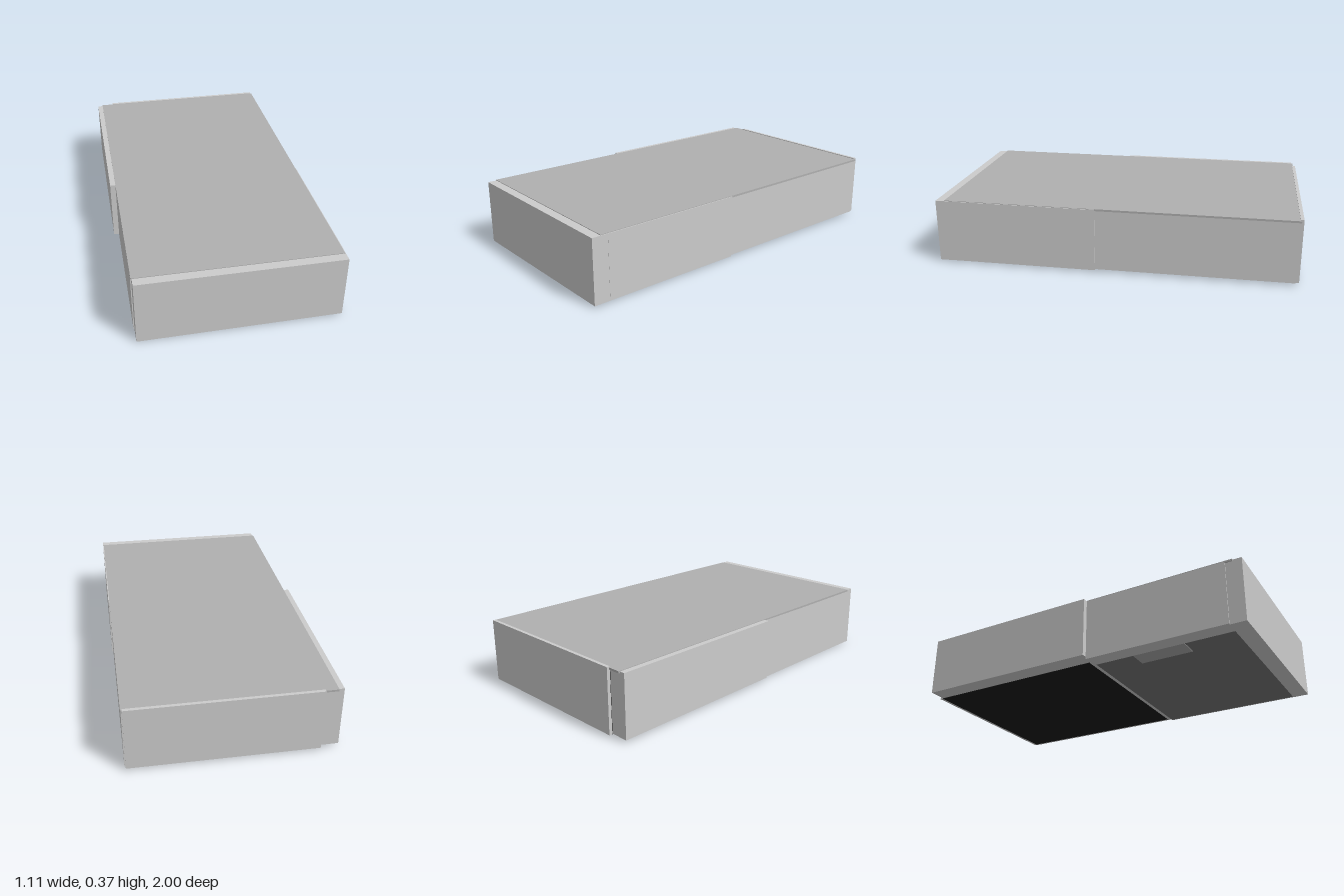
import * as THREE from 'three';

// Two-room block: thick outer walls on the front and -x sides, thin ones elsewhere
export function createModel() {
  const group = new THREE.Group();
  const wallMat = new THREE.MeshStandardMaterial({ color: 0xcccccc });
  const colored = (color) => new THREE.MeshStandardMaterial({ color });

  // Box given by its extents on each axis
  function slab(name, [x0, x1], [y0, y1], [z0, z1], material = wallMat) {
    const mesh = new THREE.Mesh(new THREE.BoxGeometry(x1 - x0, y1 - y0, z1 - z0), material);
    mesh.position.set((x0 + x1) / 2, (y0 + y1) / 2, (z0 + z1) / 2);
    mesh.name = name;
    group.add(mesh);
    return mesh;
  }

  const top = 0.363;

  // Front room walls
  const front = slab('frontWall', [-0.525, 0.552], [0, top], [0.91, 1]);
  slab('frontRoomLeftWall', [-0.53, -0.44], [0.004, top], [0.09, 0.91]);
  slab('frontRoomRightWall', [0.54, 0.553], [0.01, top], [0.1, 0.91]);

  // The base of the front wall rises slightly towards +x
  const pos = front.geometry.attributes.position;
  for (let i = 0; i < pos.count; i++) {
    if (pos.getY(i) < 0 && pos.getX(i) > 0) pos.setY(i, pos.getY(i) + 0.009);
  }
  front.geometry.computeVertexNormals();

  // Back room walls
  slab('backRoomSideWall', [-0.56, -0.46], [0.017, top], [-0.98, 0.09]);
  slab('backRoomThinWall', [0.533, 0.546], [0.014, 0.36], [-0.982, 0.1]);
  slab('backWall', [-0.46, 0.54], [0.015, 0.37], [-1, -0.982]);
  slab('partitionWall', [-0.46, 0.535], [0.012, 0.36], [0.075, 0.1]);

  // Floors, with a paler inset panel in the front room
  slab('frontFloor', [-0.44, 0.54], [0.008, 0.02], [0.1, 0.91], colored(0x737373));
  slab('floorPanel', [-0.44, -0.33], [0.005, 0.012], [0.33, 0.63], colored(0xa6a6a6));
  slab('backFloor', [-0.46, 0.533], [0.014, 0.026], [-0.982, 0.075], colored(0x1a1a1a));

  // Ceiling stops halfway across the thick walls
  slab('ceiling', [-0.53, 0.548], [0.355, 0.366], [-0.988, 0.95], colored(0xb0b0b0));
  return group;
}
